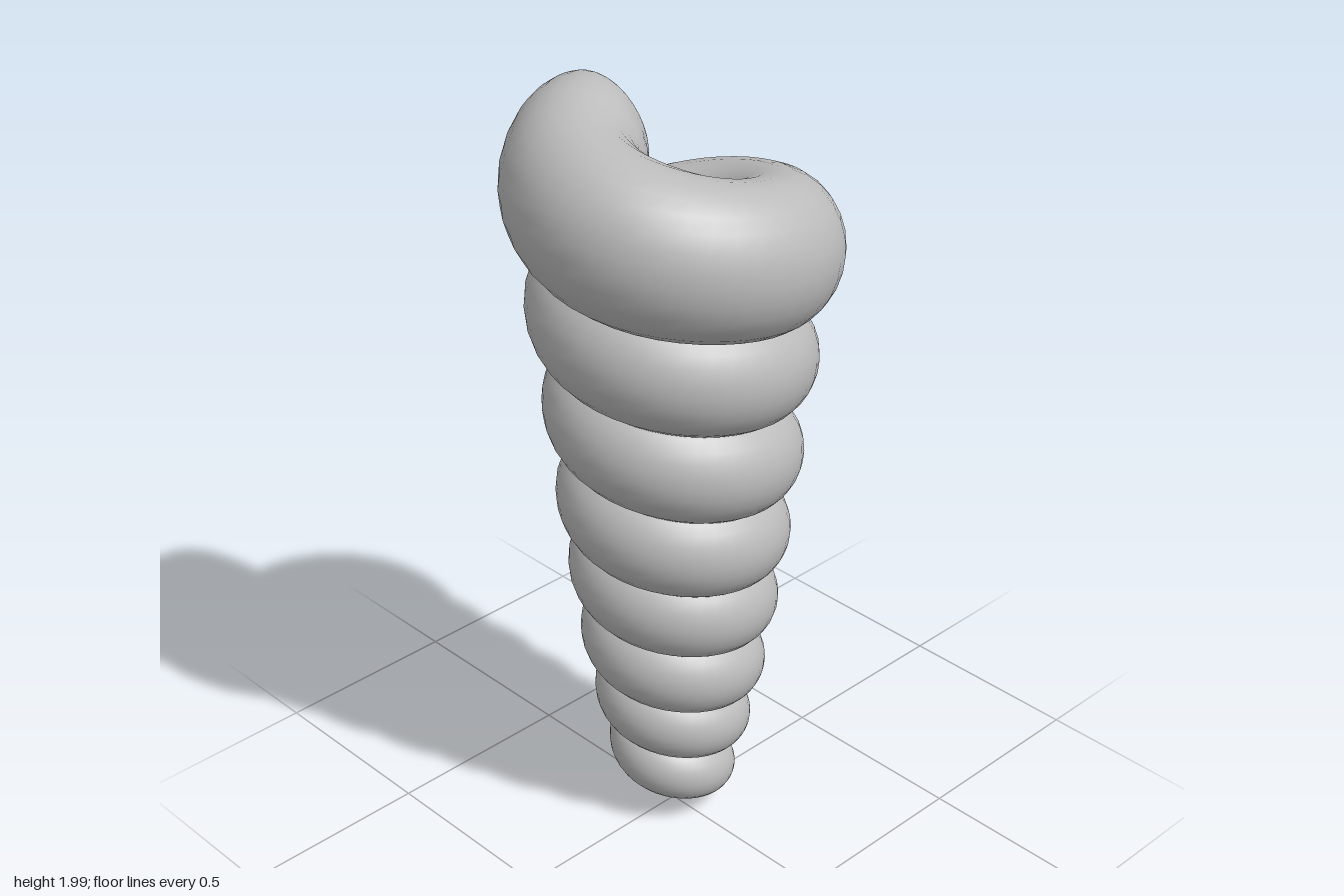
import * as THREE from 'three';

// Shell profile, one key per half turn from tip to mouth
const OUTER = [.137, .16, .18, .197, .215, .232, .248, .261, .275, .288, .302, .315, .33, .346, .367, .4, .395];
const HEIGHT = [.063, .133, .215, .3, .385, .475, .57, .67, .77, .87, .98, 1.1, 1.235, 1.36, 1.5, 1.65, 1.835];
const SIDES = 28;
const AXIS_X = -0.01, AXIS_Z = -0.02;
const END = 8;

// Smooth interpolation through evenly spaced keys
function sample(keys, turn) {
  const last = keys.length - 1;
  const i = THREE.MathUtils.clamp(Math.floor(turn * 2), 0, last - 1);
  const f = turn * 2 - i;
  const a = keys[i], b = keys[i + 1];
  const before = i > 0 ? keys[i - 1] : 2 * a - b;
  const after = i + 2 <= last ? keys[i + 2] : 2 * b - a;
  const m0 = (b - before) / 2, m1 = (after - a) / 2;
  return a + m0 * f + (3 * (b - a) - 2 * m0 - m1) * f * f + (2 * (a - b) + m0 + m1) * f * f * f;
}

// Outer reach from the axis, bulging over the last half turn
function reach(turn) {
  const s = Math.sin(Math.PI * THREE.MathUtils.clamp((turn - 7.5) / 0.5, 0, 1));
  return sample(OUTER, turn) + 0.02 * s * s;
}

// Half of the gap between the outer reach and the open core
const tubeRadius = (turn) => (reach(turn) - (0.012 + 0.0075 * turn)) / 2;

const outward = (turn) => {
  const angle = Math.min(turn, END) * Math.PI * 2;
  return new THREE.Vector3(-Math.cos(angle), 0, -Math.sin(angle));
};

// Spiral path, running straight back past the last full turn
function centre(turn) {
  const p = outward(turn).multiplyScalar(reach(turn) - tubeRadius(turn));
  p.x += AXIS_X;
  p.y = sample(HEIGHT, turn);
  p.z += AXIS_Z - 1.4 * Math.max(0, turn - END);
  return p;
}

// Ring stations along the spiral: [turn, radius scale]
function stations() {
  const list = [];
  // rounded tip
  for (let i = 0; i < 8; i++) {
    const a = (1 - i / 8) * Math.PI / 2;
    list.push([0.05 - 0.07 * Math.sin(a), Math.max(Math.cos(a), 0.001)]);
  }
  // whorls
  const steps = 320;
  for (let i = 0; i <= steps; i++) list.push([0.05 + 7.87 * i / steps, 1]);
  // rolled lip
  for (let i = 1; i <= 20; i++) {
    const a = i / 20 * Math.PI;
    const c = Math.cos(a);
    list.push([7.92 + 0.1 * Math.sin(a), 0.57 + (c > 0 ? 0.43 : 0.22) * c]);
  }
  // hollow throat behind the lip
  for (let i = 1; i <= 12; i++) list.push([7.92 - 0.03 * i, i < 12 ? 0.35 : 0.001]);
  return list;
}

function spiralGeometry() {
  const positions = [], index = [];
  const rings = stations();
  rings.forEach(([turn, scale], i) => {
    const c = centre(turn);
    const tangent = centre(turn + 0.002).sub(centre(turn - 0.002)).normalize();
    const out = outward(turn);
    const up = new THREE.Vector3().crossVectors(tangent, out).normalize();
    const r = tubeRadius(turn) * scale;
    // section is a little taller than wide, more so in the last whorl
    const tall = r * (1.07 + 0.06 * THREE.MathUtils.smoothstep(turn, 6.5, 7.5));
    for (let j = 0; j < SIDES; j++) {
      const b = j / SIDES * Math.PI * 2;
      const p = c.clone().addScaledVector(out, r * Math.cos(b)).addScaledVector(up, tall * Math.sin(b));
      positions.push(p.x, p.y, p.z);
      if (i < rings.length - 1) {
        const k = i * SIDES + j, n = i * SIDES + (j + 1) % SIDES;
        index.push(k, n, k + SIDES, n, n + SIDES, k + SIDES);
      }
    }
  });
  const geometry = new THREE.BufferGeometry();
  geometry.setAttribute('position', new THREE.Float32BufferAttribute(positions, 3));
  geometry.setIndex(index);
  geometry.computeVertexNormals();
  return geometry;
}

export function createModel() {
  const group = new THREE.Group();
  group.name = 'spiralShell';
  const shellGrey = new THREE.MeshStandardMaterial({ color: 0xbbbbbb });
  shellGrey.name = 'shell grey';
  const shell = new THREE.Mesh(spiralGeometry(), shellGrey);
  shell.name = 'coiledShell';
  group.add(shell);
  return group;
}
